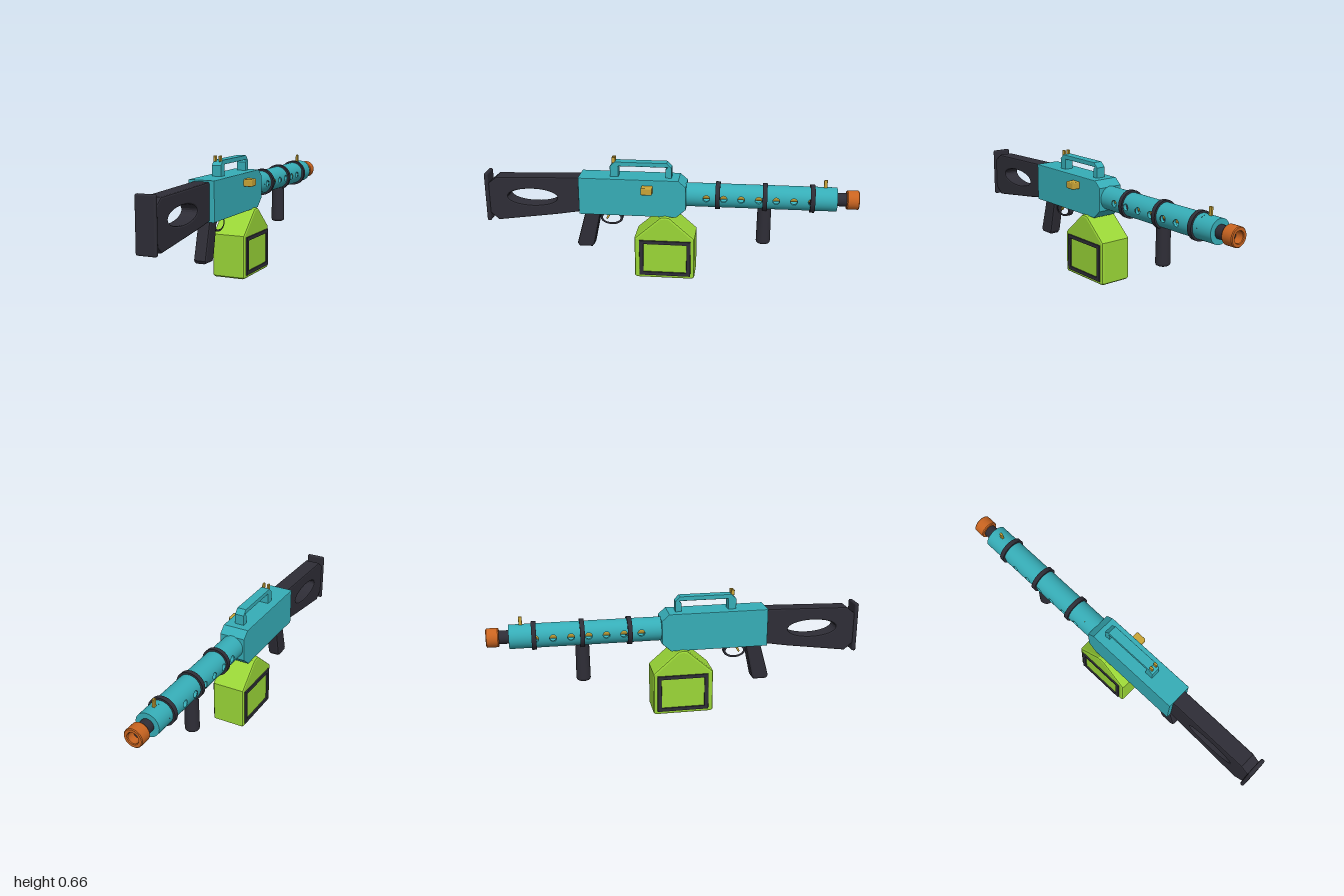
import * as THREE from 'three';
import { mergeGeometries } from 'three/addons/utils/BufferGeometryUtils.js';
import { RoundedBoxGeometry } from 'three/addons/geometries/RoundedBoxGeometry.js';

const material = (name, color, side = THREE.FrontSide) => {
  const m = new THREE.MeshStandardMaterial({ color, side });
  m.name = name;
  return m;
};

export function createModel() {
  const group = new THREE.Group();
  const teal = material('teal', 0x36adb7, THREE.DoubleSide);
  const green = material('green', 0x9ad637);
  const dark = material('charcoal', 0x2e2d36);
  const gold = material('gold', 0xc9a436);
  const orange = material('orange', 0xc96420, THREE.DoubleSide);

  const add = (name, geometry, mat, x = 0, y = 0, z = 0) => {
    const mesh = new THREE.Mesh(geometry, mat);
    mesh.name = name;
    mesh.position.set(x, y, z);
    group.add(mesh);
    return mesh;
  };

  // Side profile given as [z, y] points, extruded across x with a small bevel
  const toVec = ([z, y]) => new THREE.Vector2(-z, y);
  const profile = (points, width, bevel = 0.008, holes = []) => {
    const shape = new THREE.Shape(points.map(toVec));
    holes.forEach((h) => shape.holes.push(new THREE.Path(h.map(toVec))));
    const geo = new THREE.ExtrudeGeometry(shape, {
      depth: width - 2 * bevel, bevelEnabled: bevel > 0, bevelSize: bevel,
      bevelThickness: bevel, bevelOffset: -bevel, bevelSegments: 2,
    });
    return geo.translate(0, 0, bevel - width / 2).rotateY(Math.PI / 2);
  };
  const ellipse = (z, y, rz, ry, n = 32) => Array.from({ length: n }, (_, i) => {
    const a = (i / n) * Math.PI * 2;
    return [z + rz * Math.cos(a), y + ry * Math.sin(a)];
  });
  const rect = (z0, z1, y0, y1) => [[z0, y0], [z1, y0], [z1, y1], [z0, y1]];

  // Tube or rod lying along z
  const rod = (r, z0, z1, open = false, start = 0, sweep = Math.PI * 2) =>
    new THREE.CylinderGeometry(r, r, Math.abs(z1 - z0), 32, 1, open, start, sweep)
      .rotateX(Math.PI / 2).translate(0, 0, (z0 + z1) / 2);

  // Receiver and carry handle
  add('receiver', profile([[0.48, 0.355], [0.48, 0.56], [-0.055, 0.56], [-0.095, 0.525],
    [-0.095, 0.4], [-0.045, 0.355]], 0.143, 0.004), teal);
  add('carryHandle', profile([[0.315, 0.55], [0.315, 0.615], [0.288, 0.641], [0.01, 0.641],
    [-0.015, 0.615], [-0.015, 0.55], [0.017, 0.55], [0.017, 0.605], [0.006, 0.617],
    [0.27, 0.617], [0.27, 0.55]], 0.052, 0.003), teal);
  add('chargingKnob', new RoundedBoxGeometry(0.052, 0.039, 0.06, 2, 0.006), gold, 0.09, 0.51, 0.11);
  for (const s of [-1, 1]) {
    add('rearSight', new RoundedBoxGeometry(0.011, 0.03, 0.02, 1, 0.002), gold, s * 0.0145, 0.648, 0.296);
  }

  // Stock with its oval opening, and butt plate
  add('stock', profile([[0.47, 0.36], [0.47, 0.553], [0.935, 0.54], [0.984, 0.5],
    [0.984, 0.335], [0.935, 0.292], [0.6, 0.338]], 0.09, 0.008,
  [ellipse(0.74, 0.432, 0.137, 0.046)]), dark);
  add('buttPlate', new RoundedBoxGeometry(0.106, 0.273, 0.022, 2, 0.009), dark, 0, 0.423, 0.989);

  // Pistol grip, trigger guard and trigger
  add('pistolGrip', profile([[0.45, 0.37], [0.37, 0.37], [0.375, 0.33], [0.41, 0.165],
    [0.423, 0.148], [0.495, 0.148], [0.506, 0.165]], 0.068, 0.012), dark);
  add('triggerGuard', profile(ellipse(0.313, 0.319, 0.062, 0.04), 0.03, 0.002,
    [ellipse(0.313, 0.319, 0.051, 0.03)]), dark);
  add('trigger', profile([[0.345, 0.36], [0.322, 0.36], [0.322, 0.33], [0.338, 0.305],
    [0.345, 0.31], [0.335, 0.335]], 0.014, 0.002), gold);

  // Magazine box with a framed panel on each side
  add('magazine', profile([[0.18, 0.012], [0.18, 0.235], [0.04, 0.358], [0.015, 0.362],
    [-0.01, 0.358], [-0.145, 0.24], [-0.145, 0.012], [-0.133, 0.003], [0.168, 0.003]], 0.183, 0.012), green);
  for (const s of [-1, 1]) {
    add('magazineFrame', profile(rect(0.153, -0.125, 0.022, 0.225), 0.014, 0.002,
      [rect(0.131, -0.103, 0.042, 0.205)]), dark, s * 0.0925);
  }

  // Perforated barrel jacket: plain ends, top and bottom arcs, and a cell round each hole
  const R = 0.0635, AXIS = 0.465, HOLE = 0.018, PITCH = 0.0915, COUNT = 7;
  const halfH = 0.028, firstHole = -0.203;
  const zA = firstHole + PITCH / 2, zB = zA - COUNT * PITCH;
  const tilt = Math.asin(halfH / R);
  const cell = (zc) => {
    const geo = new THREE.RingGeometry(1, 2, 32, 4);
    const p = geo.attributes.position, nrm = geo.attributes.normal;
    for (let i = 0; i < p.count; i++) {
      const len = Math.hypot(p.getX(i), p.getY(i)), t = len - 1;
      const c = p.getX(i) / len, s = p.getY(i) / len, m = Math.max(Math.abs(c), Math.abs(s));
      const u = THREE.MathUtils.lerp(c * HOLE, (c / m) * PITCH / 2, t);
      const y = THREE.MathUtils.lerp(s * HOLE, (s / m) * halfH, t);
      const x = Math.sqrt(R * R - y * y);
      p.setXYZ(i, x, y, zc - u);
      nrm.setXYZ(i, x / R, y / R, 0);
    }
    return geo;
  };
  const pieces = [rod(R, -0.08, zA, true), rod(R, zB, -0.885, true)];
  for (const side of [0, Math.PI]) {
    pieces.push(rod(R, zA, zB, true, Math.PI / 2 + tilt + side, Math.PI - 2 * tilt));
    for (let i = 0; i < COUNT; i++) {
      const zc = firstHole - i * PITCH;
      const wall = new THREE.CylinderGeometry(HOLE, HOLE, 0.017, 24, 1, true)
        .rotateZ(Math.PI / 2).translate(0.0525, 0, zc);
      pieces.push(cell(zc).rotateZ(side), wall.rotateZ(side));
    }
  }
  pieces.push(new THREE.CircleGeometry(R, 32).rotateY(Math.PI).translate(0, 0, -0.885));
  add('barrelJacket', mergeGeometries(pieces), teal, 0, AXIS);
  add('innerRod', rod(0.022, -0.09, -0.88), gold, 0, AXIS);

  // Jacket bands
  for (const z of [-0.262, -0.51, -0.758]) {
    add('jacketBand', rod(0.0745, z + 0.012, z - 0.012), dark, 0, AXIS);
  }

  // Barrel tip and hollow muzzle
  add('barrelTip', rod(0.035, -0.87, -0.955), dark, 0, AXIS);
  const muzzle = [[0.03, 0.935], [0.046, 0.935], [0.046, 0.935], [0.05, 0.94], [0.05, 0.94],
    [0.05, 0.996], [0.05, 0.996], [0.046, 1], [0.046, 1], [0.032, 1], [0.032, 1], [0.029, 0.996],
    [0.029, 0.996], [0.029, 0.95]].map(([r, h]) => new THREE.Vector2(r, h));
  add('muzzle', new THREE.LatheGeometry(muzzle, 32).rotateX(-Math.PI / 2), orange, 0, AXIS);
  add('frontSight', new RoundedBoxGeometry(0.012, 0.055, 0.018, 1, 0.002), gold, 0, 0.543, -0.823);

  // Vertical foregrip with a rounded foot
  const grip = [[0, 0.203], [0.028, 0.203], [0.035, 0.207], [0.038, 0.215], [0.038, 0.22], [0.036, 0.42]]
    .map(([r, h]) => new THREE.Vector2(r, h));
  add('foregrip', new THREE.LatheGeometry(grip, 28), dark, 0, 0, -0.51);

  group.position.x = -0.0085;
  const root = new THREE.Group();
  root.add(group);
  return root;
}
